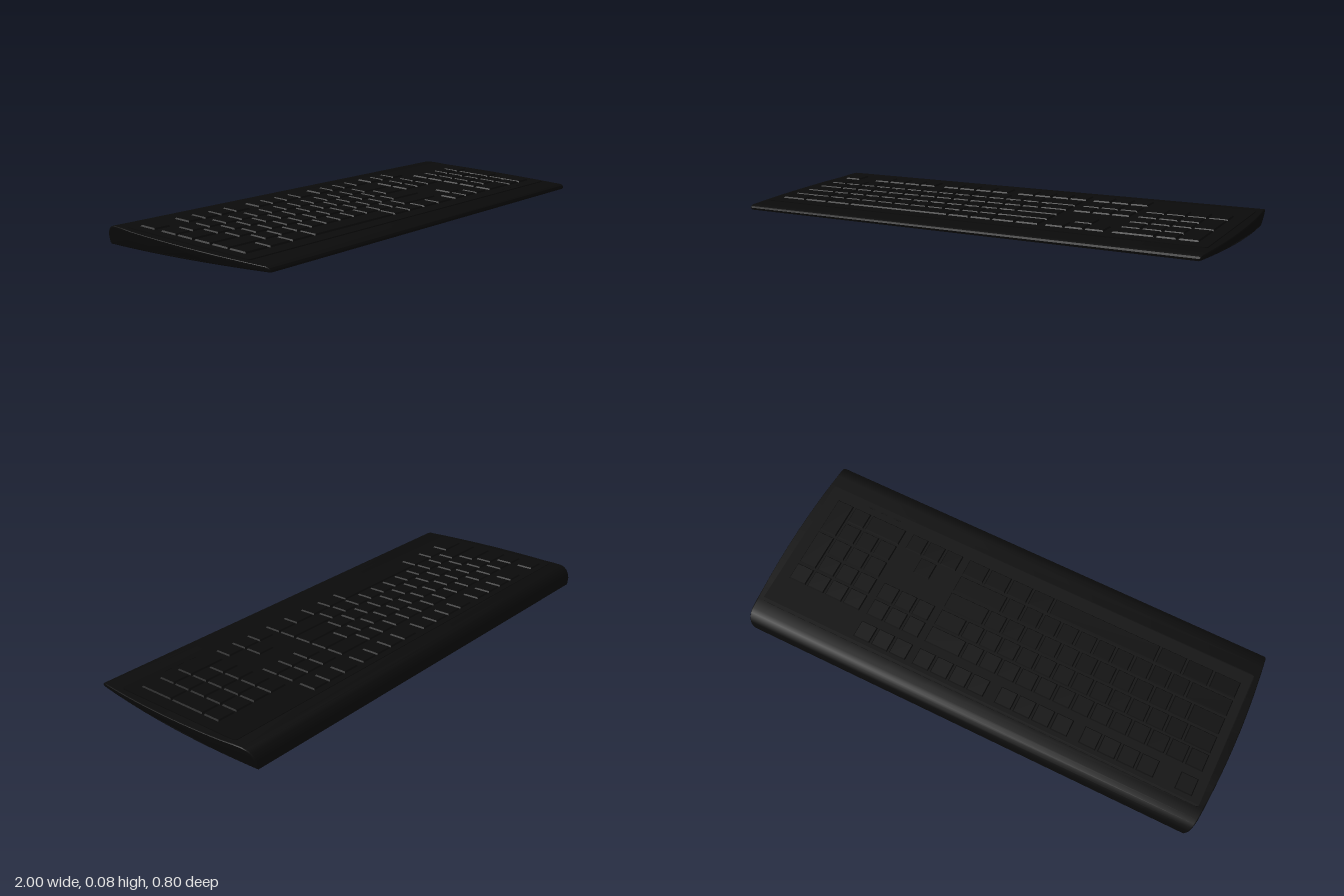
import * as THREE from 'three';
import { toCreasedNormals } from 'three/addons/utils/BufferGeometryUtils.js';

const black = new THREE.MeshStandardMaterial({ color: 0x0a0a0a });
const SLOPE = 0.047;
const deckY = (z) => 0.0445 + (0.3 - z) * SLOPE;

function addMesh(parent, name, geometry) {
  const mesh = new THREE.Mesh(geometry, black);
  mesh.name = name;
  parent.add(mesh);
  return mesh;
}

// Wedge-shaped case: side profile extruded across, then its ends bowed and undercut
function caseGeometry() {
  const profile = [[0.398, 0.021], [0.4, 0.029], [0.396, 0.036], [0.385, 0.0405]];
  for (let i = 0; i <= 12; i++) {
    const z = 0.35 - i * 0.05;
    profile.push([z, deckY(z)]);
  }
  profile.push([-0.3, 0.0745], [-0.345, 0.0765], [-0.365, 0.073], [-0.382, 0.063],
    [-0.394, 0.048], [-0.399, 0.034], [-0.4, 0.006], [-0.394, 0]);
  for (let i = 1; i < 16; i++) profile.push([-0.394 + i * 0.0495, i * 0.0013]);

  const shape = new THREE.Shape(profile.map(([z, y]) => new THREE.Vector2(-z, y)));
  const b = 0.005;
  let geo = new THREE.ExtrudeGeometry(shape, {
    depth: 2 - 2 * b, bevelSize: b, bevelThickness: b, bevelOffset: -b, bevelSegments: 3,
  });
  geo.translate(0, 0, b - 1);
  geo.rotateY(Math.PI / 2);
  const p = geo.attributes.position;
  for (let i = 0; i < p.count; i++) {
    const z = p.getZ(i), depth = Math.max(0, deckY(z) - p.getY(i));
    p.setX(i, p.getX(i) * (1 - 0.022 * (z / 0.4) ** 2 - 0.25 * depth));
  }
  geo = toCreasedNormals(geo, 0.6);
  return geo;
}

// Raised plate with rounded corners
function plateGeometry(w, d, h, r) {
  const x = w / 2, y = d / 2, s = new THREE.Shape();
  s.moveTo(-x + r, -y);
  s.lineTo(x - r, -y).quadraticCurveTo(x, -y, x, -y + r);
  s.lineTo(x, y - r).quadraticCurveTo(x, y, x - r, y);
  s.lineTo(-x + r, y).quadraticCurveTo(-x, y, -x, y - r);
  s.lineTo(-x, -y + r).quadraticCurveTo(-x, -y, -x + r, -y);
  const geo = new THREE.ExtrudeGeometry(s, { depth: h, bevelEnabled: false, curveSegments: 4 });
  return geo.rotateX(-Math.PI / 2);
}

// Keycap: box narrowed toward its top
function keyGeometry(w, d) {
  const h = 0.0075, taper = 0.005;
  const geo = new THREE.BoxGeometry(w, h, d).translate(0, h / 2 - 0.002, 0);
  const p = geo.attributes.position;
  for (let i = 0; i < p.count; i++) {
    if (p.getY(i) < 0.002) continue;
    p.setX(i, p.getX(i) - Math.sign(p.getX(i)) * taper);
    p.setZ(i, p.getZ(i) - Math.sign(p.getZ(i)) * taper);
  }
  geo.computeVertexNormals();
  return geo;
}

export function createModel() {
  const model = new THREE.Group();
  model.name = 'keyboard';
  addMesh(model, 'case', caseGeometry());

  // Sloped key deck
  const deck = new THREE.Group();
  deck.name = 'keyDeck';
  deck.position.y = deckY(0);
  deck.rotation.x = Math.atan(SLOPE);
  model.add(deck);
  addMesh(deck, 'keyPanel', plateGeometry(1.93, 0.6, 0.004, 0.015)).position.y = 0;

  const keys = new THREE.Group();
  keys.name = 'keys';
  keys.position.y = 0.004;
  deck.add(keys);

  const U = 0.0815, GAP = 0.006, CAP = 0.077;
  const rowZ = [-0.235, -0.127, -0.044, 0.041, 0.125, 0.208];
  // A row of key widths in units; negative widths are empty space
  function row(x0, r, widths, name, unit = U) {
    let x = x0;
    for (const w of widths) {
      const size = Math.abs(w) * unit;
      if (w > 0) {
        addMesh(keys, name, keyGeometry(size - GAP, CAP)).position.set(x + size / 2, 0, rowZ[r]);
      }
      x += size;
    }
  }
  const ones = (n) => Array(n).fill(1);

  // Main block
  const X = -0.93;
  row(X, 0, [1, -1, ...ones(4), -0.5, ...ones(4), -0.5, ...ones(4)], 'functionKey');
  row(X, 1, [...ones(13), 2], 'numberKey');
  row(X, 2, [1.5, ...ones(12), 1.5], 'letterKey');
  row(X, 3, [1.75, ...ones(11), 2.25], 'letterKey');
  row(X, 4, [2.25, ...ones(10), 2.75], 'letterKey');
  row(X, 5, [1.45, 1.4, 1.45, 5.8, 1.2, 1.2, 1.25, 1.25], 'bottomRowKey');

  // Navigation block and arrows
  const NX = 0.315;
  for (const r of [0, 1, 2]) row(NX, r, ones(3), 'navigationKey');
  row(NX, 4, [-1, 1], 'arrowKey');
  row(NX, 5, ones(3), 'arrowKey');

  // Number pad, with two double-height keys on its outer column
  const PX = 0.585, PU = 0.084;
  row(PX, 1, ones(4), 'padKey', PU);
  for (const r of [2, 3, 4]) row(PX, r, ones(3), 'padKey', PU);
  row(PX, 5, [2, 1], 'padKey', PU);
  for (const r of [2, 4]) {
    const z = (rowZ[r] + rowZ[r + 1]) / 2;
    addMesh(keys, 'tallPadKey', keyGeometry(PU - GAP, CAP + 0.084)).position.set(PX + 3.5 * PU, 0, z);
  }

  // Indicator lights below the number pad
  for (let i = 0; i < 3; i++) {
    addMesh(keys, 'indicatorLight', new THREE.BoxGeometry(0.03, 0.002, 0.006))
      .position.set(0.65 + i * 0.06, 0, 0.275);
  }
  return model;
}
